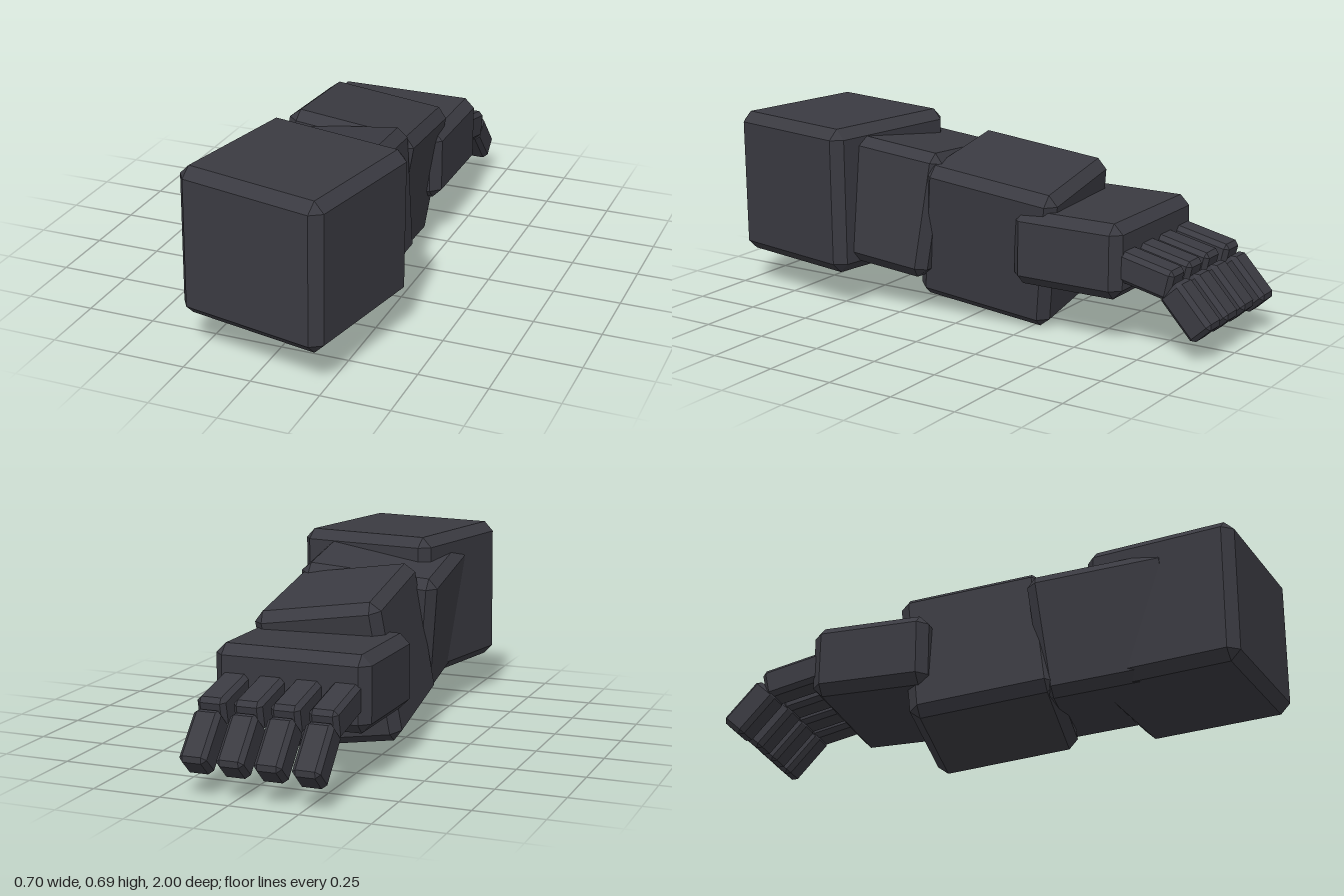
import * as THREE from 'three';
import { ConvexGeometry } from 'three/addons/geometries/ConvexGeometry.js';

const armour = new THREE.MeshStandardMaterial({ color: 0x3a3a41, flatShading: true });
armour.name = 'charcoal';

// Box whose edges and corners are cut flat by c
function chamferBox(w, h, d, c) {
  const points = [];
  for (const sx of [-1, 1]) for (const sy of [-1, 1]) for (const sz of [-1, 1]) {
    const x = w / 2, y = h / 2, z = d / 2;
    points.push(
      new THREE.Vector3(sx * x, sy * (y - c), sz * (z - c)),
      new THREE.Vector3(sx * (x - c), sy * y, sz * (z - c)),
      new THREE.Vector3(sx * (x - c), sy * (y - c), sz * z));
  }
  return new ConvexGeometry(points);
}

function block(name, size, chamfer, position, rotation) {
  const mesh = new THREE.Mesh(chamferBox(...size, chamfer), armour);
  mesh.name = name;
  mesh.position.set(...position);
  mesh.rotation.set(...rotation);
  return mesh;
}

export function createModel() {
  const arm = new THREE.Group();
  arm.name = 'arm';

  // Main arm blocks, from shoulder to hand, each slightly twisted
  arm.add(
    block('shoulder', [0.573, 0.547, 0.57], 0.037, [0.022, 0.418, 0.672], [0, -0.19, -0.012]),
    block('upperArm', [0.53, 0.47, 0.52], 0.035, [0, 0.39, 0.4], [-0.12, 0.09, 0.1]),
    block('forearm', [0.475, 0.52, 0.535], 0.036, [-0.042, 0.321, -0.067], [-0.13, 0.085, -0.13]),
    block('hand', [0.574, 0.272, 0.44], 0.036, [-0.065, 0.322, -0.433], [0, 0, 0]));

  // Four fingers, each with two bent segments
  [-0.272, -0.132, 0.003, 0.137].forEach((x, i) => {
    const finger = new THREE.Group();
    finger.name = `finger${i + 1}`;
    finger.position.set(x, 0, i === 0 ? -0.01 : 0);
    finger.add(
      block('fingerBase', [0.105, 0.11, 0.27], 0.016, [0, 0.293, -0.707], [-0.22, 0, 0]),
      block('fingerTip', [0.1, 0.105, 0.2], 0.016, [0, 0.182, -0.893], [-0.83, 0, 0]));
    arm.add(finger);
  });
  return arm;
}
